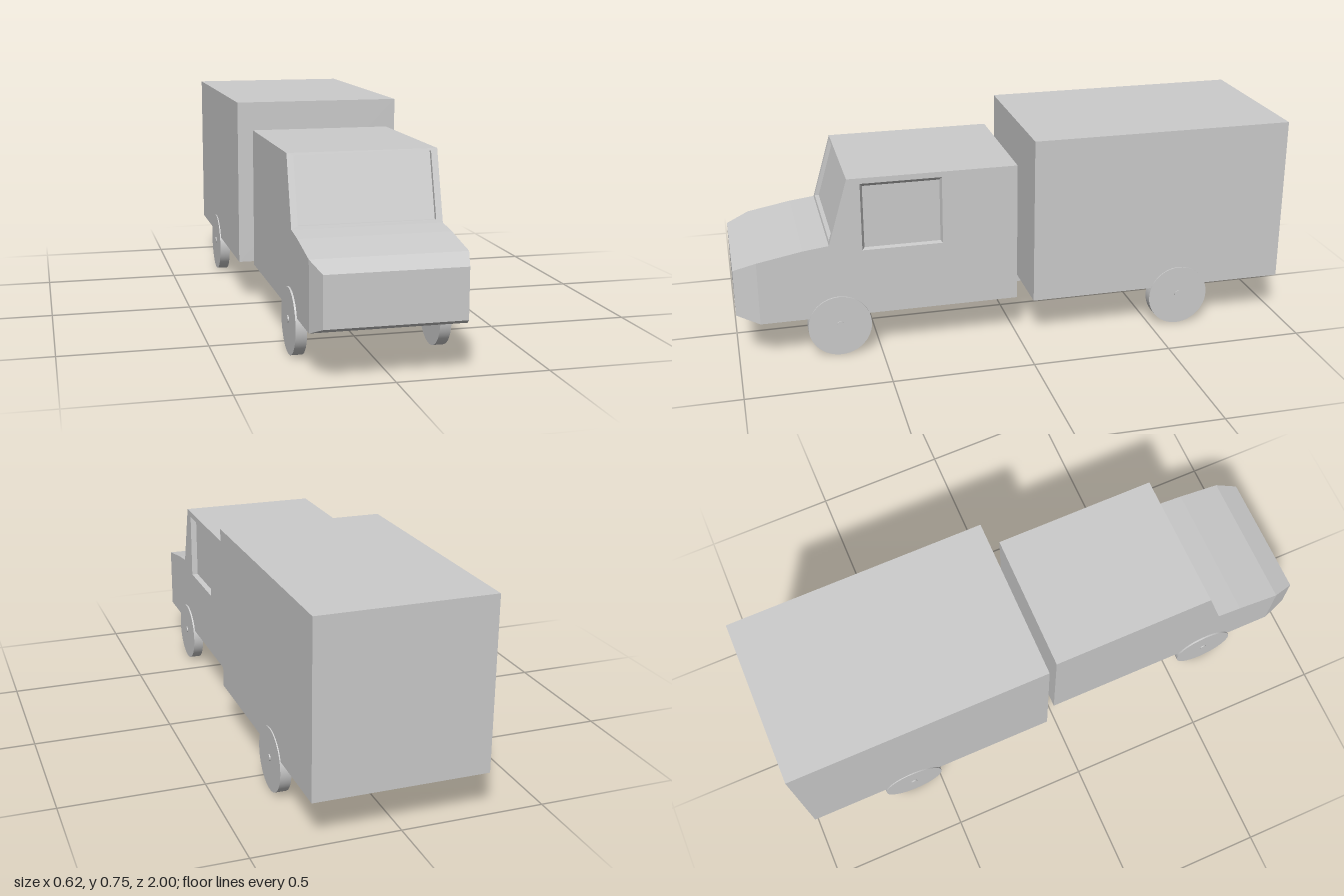
import * as THREE from 'three';

const material = new THREE.MeshStandardMaterial({ color: 0xcccccc });

function add(parent, name, geometry, x = 0, y = 0, z = 0) {
  const mesh = new THREE.Mesh(geometry, material);
  mesh.name = name;
  mesh.position.set(x, y, z);
  parent.add(mesh);
  return mesh;
}

// Box given by its minimum and maximum corners
function block(parent, name, [x0, y0, z0], [x1, y1, z1]) {
  add(parent, name, new THREE.BoxGeometry(x1 - x0, y1 - y0, z1 - z0),
    (x0 + x1) / 2, (y0 + y1) / 2, (z0 + z1) / 2);
}

// Flat-shaded surface from four-cornered faces, corners counter-clockwise
function quads(faces) {
  const positions = faces.flatMap(([a, b, c, d]) => [a, b, c, a, c, d].flat());
  const geometry = new THREE.BufferGeometry();
  geometry.setAttribute('position', new THREE.Float32BufferAttribute(positions, 3));
  geometry.computeVertexNormals();
  return geometry;
}

// Band of faces between an outer and an inner loop of four corners
const ring = (outer, inner) => outer.map((p, i) => {
  const j = (i + 1) % 4;
  return [p, outer[j], inner[j], inner[i]];
});

// Cylinder lying along x
function crossCylinder(parent, name, radius, length, x, y, z) {
  const geometry = new THREE.CylinderGeometry(radius, radius, length, 48);
  geometry.rotateZ(Math.PI / 2);
  add(parent, name, geometry, x, y, z);
}

function createCab() {
  const cab = new THREE.Group();
  cab.name = 'cab';
  const W = 0.254, N = 0.229;

  // Side outline as [z, y, half width], from the rear floor over the roof to the nose
  const outline = [
    [0, 0.148, W], [0, 0.655, W], [0.6, 0.655, W], [0.67, 0.418, W], [0.76, 0.407, W],
    [0.92, 0.378, W], [1, 0.348, N], [1, 0.18, N], [0.92, 0.148, W],
  ];
  const span = ([pz, py, pw], [qz, qy, qw]) =>
    [[-pw, py, pz], [-qw, qy, qz], [qw, qy, qz], [pw, py, pz]];

  // Roof, bonnet, nose, floor and rear wall, with the windscreen strip left open
  const shell = [];
  outline.forEach((p, i) => {
    if (i !== 2) shell.push(span(p, outline[(i + 1) % outline.length]));
  });

  // Slanted corners of the nose
  const corner = [[N, 0.348, 1], [N, 0.18, 1], [W, 0.148, 0.92], [W, 0.378, 0.92]];
  shell.push(corner, corner.map(([x, y, z]) => [-x, y, z]).reverse());
  add(cab, 'cabShell', quads(shell));

  // Recessed windscreen on the slanted front
  const slopeZ = y => 0.6 + 0.07 * (0.655 - y) / 0.237;
  const frame = span([slopeZ(0.647), 0.647, 0.232], [slopeZ(0.428), 0.428, 0.232]);
  const pane = frame.map(([x, y, z]) => [x, y, z - 0.015]);
  add(cab, 'windscreenFrame', quads([...ring(span(outline[2], outline[3]), frame), ...ring(frame, pane)]));
  add(cab, 'windscreen', quads([pane]));

  // Side walls; only one has a window opening
  const hole = [[0.555, 0.635], [0.555, 0.39], [0.27, 0.39], [0.27, 0.635]];
  for (const s of [1, -1]) {
    const toPoint = ([z, y]) => new THREE.Vector2(-s * z, y);
    const shape = new THREE.Shape(outline.filter(p => p[2] === W).map(toPoint));
    if (s > 0) shape.holes.push(new THREE.Path(hole.map(toPoint)));
    const wall = new THREE.ShapeGeometry(shape);
    wall.rotateY(s * Math.PI / 2);
    add(cab, s > 0 ? 'leftWall' : 'rightWall', wall, s * W);
  }

  // Recessed side window with sloping edges
  const rim = hole.map(([z, y]) => [W, y, z]);
  const glass = [[0.545, 0.62], [0.545, 0.393], [0.275, 0.393], [0.275, 0.62]]
    .map(([z, y]) => [W - 0.02, y, z]);
  add(cab, 'sideWindowFrame', quads(ring(rim, glass)));
  add(cab, 'sideWindow', quads([glass]));
  return cab;
}

// Axle with a thin shaft through a pair of wheels
function createWheelSet(name, z, inner, outer) {
  const set = new THREE.Group();
  set.name = name;
  crossCylinder(set, 'axle', 0.025, 0.45, 0, 0.118, z);
  crossCylinder(set, 'shaft', 0.012, 2 * (outer + 0.004), 0, 0.118, z);
  for (const s of [1, -1]) {
    crossCylinder(set, s > 0 ? 'leftWheel' : 'rightWheel', 0.112, outer - inner,
      s * (inner + outer) / 2, 0.112, z);
  }
  return set;
}

export function createModel() {
  const truck = new THREE.Group();
  truck.name = 'boxTruck';
  truck.add(createCab());
  block(truck, 'cargoBox', [-0.302, 0.15, -1], [0.302, 0.753, -0.05]);
  block(truck, 'chassisRail', [-0.037, 0.11, -0.915], [0.037, 0.149, 0.79]);
  truck.add(createWheelSet('frontWheels', 0.645, 0.222, 0.26));
  truck.add(createWheelSet('rearWheels', -0.605, 0.267, 0.306));
  return truck;
}
